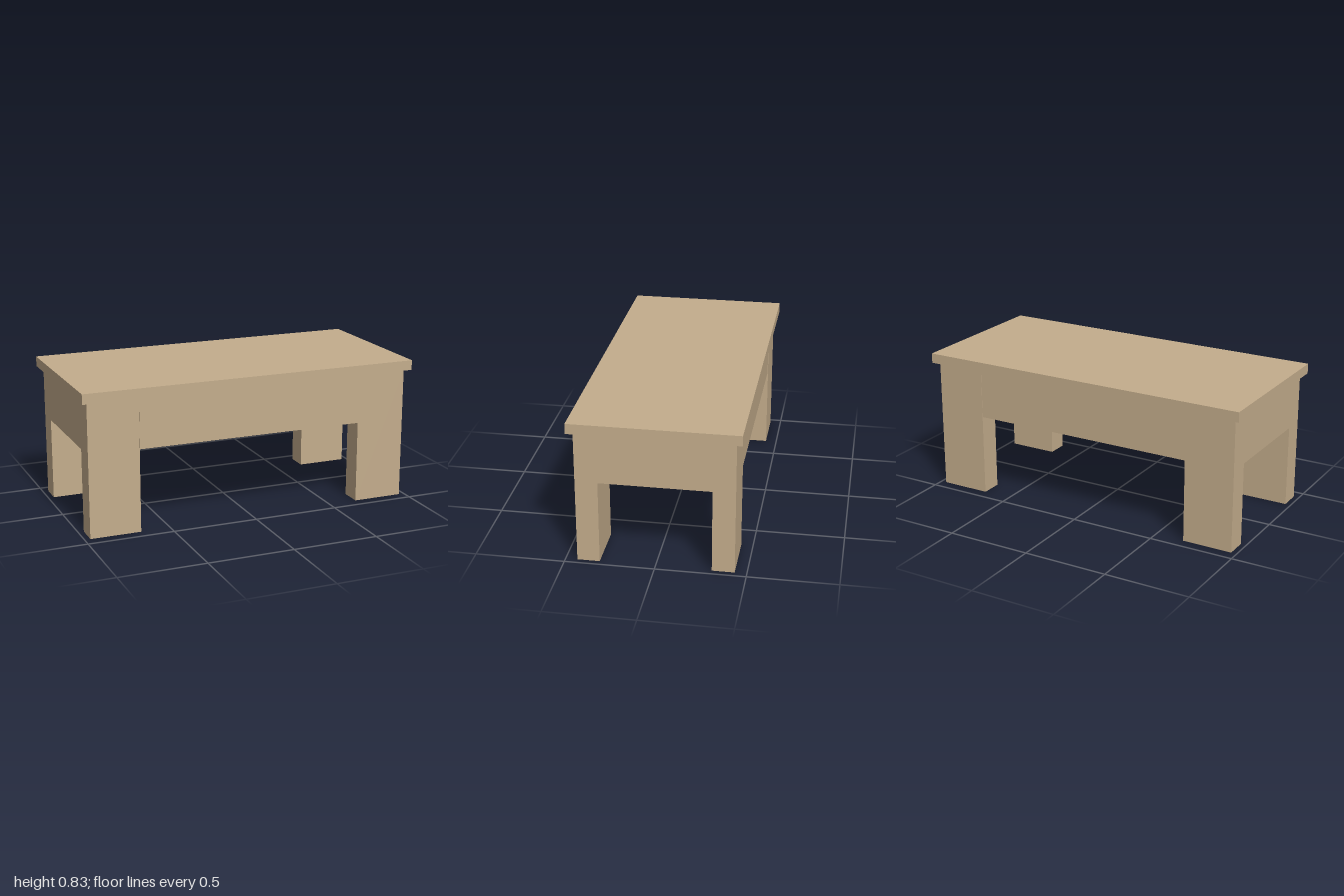
import * as THREE from 'three';

export function createModel() {
  const group = new THREE.Group();
  const wood = new THREE.MeshStandardMaterial({ color: 0xc4ad8c });
  wood.name = 'light wood';

  // Box given by its minimum and maximum on each axis
  function block(name, [x0, x1], [y0, y1], [z0, z1]) {
    const mesh = new THREE.Mesh(new THREE.BoxGeometry(x1 - x0, y1 - y0, z1 - z0), wood);
    mesh.position.set((x0 + x1) / 2, (y0 + y1) / 2, (z0 + z1) / 2);
    mesh.name = name;
    group.add(mesh);
  }
  const mirrored = (side, inner, outer) => (side > 0 ? [inner, outer] : [-outer, -inner]);

  const topY = 0.775, apronY = 0.481;
  const legIn = { x: 0.672, z: 0.309 }, legOut = { x: 0.967, z: 0.434 };
  const apronThickness = 0.065;
  const shift = 0.003; // long aprons sit slightly towards the front

  block('tableTop', [-1, 1], [topY, 0.833], [-0.467, 0.467]);

  for (const sx of [-1, 1]) {
    for (const sz of [-1, 1]) {
      block(`${sz > 0 ? 'front' : 'back'}${sx > 0 ? 'Left' : 'Right'}Leg`,
        mirrored(sx, legIn.x, legOut.x), [0, topY], mirrored(sz, legIn.z, legOut.z));
    }
    // End apron, flush with the outside of the legs
    block(sx > 0 ? 'leftApron' : 'rightApron',
      mirrored(sx, legOut.x - apronThickness, legOut.x), [apronY, topY], [-legIn.z, legIn.z]);
  }

  // Long aprons between the legs
  for (const sz of [-1, 1]) {
    const [z0, z1] = mirrored(sz, legOut.z - apronThickness, legOut.z);
    block(sz > 0 ? 'frontApron' : 'backApron',
      [-legIn.x, legIn.x], [apronY, topY], [z0 + shift, z1 + shift]);
  }
  return group;
}
